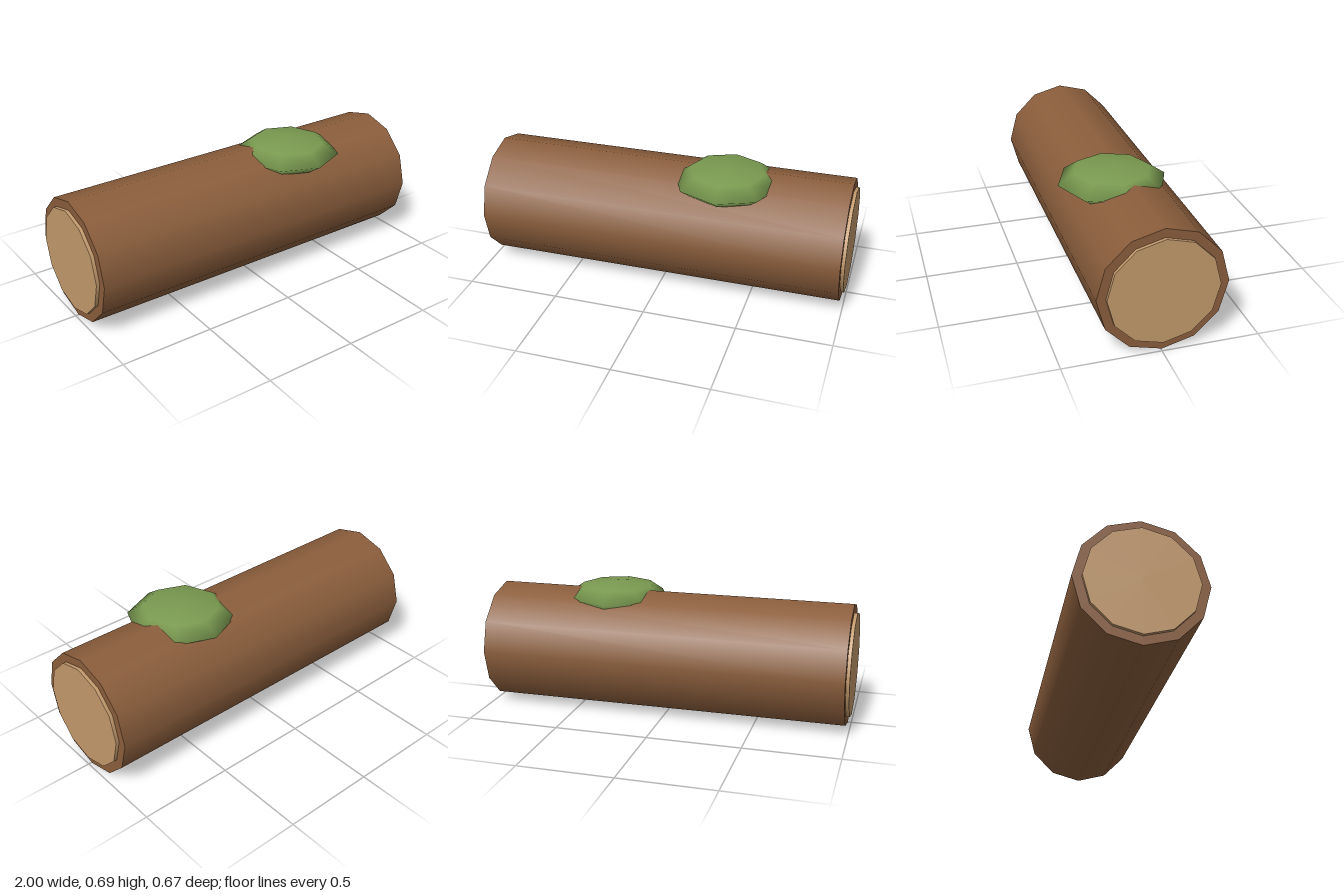
import * as THREE from 'three';

const SIDES = 12;
const RADIUS = 0.328;
const AXIS_Z = -0.005;

export function createModel() {
  const bark = new THREE.MeshStandardMaterial({ color: 0x8b5e3c });
  bark.name = 'bark brown';
  const wood = new THREE.MeshStandardMaterial({ color: 0xc49a6c });
  wood.name = 'cut wood tan';
  const moss = new THREE.MeshStandardMaterial({ color: 0x7a9a50 });
  moss.name = 'moss green';

  const model = new THREE.Group();
  model.name = 'mossyLog';

  // A cylinder lying along x on the log's axis
  const addCylinder = (name, radius, length, x, material) => {
    const geometry = new THREE.CylinderGeometry(radius, radius, length, SIDES);
    geometry.rotateZ(Math.PI / 2);
    const mesh = new THREE.Mesh(geometry, material);
    mesh.name = name;
    mesh.position.set(x, RADIUS, AXIS_Z);
    model.add(mesh);
  };

  // Trunk
  addCylinder('trunk', RADIUS, 1.964, 0, bark);

  // Cut faces standing slightly proud of both ends
  for (const [name, side] of [['leftCutFace', 1], ['rightCutFace', -1]]) {
    addCylinder(name, 0.281, 0.036, side * 0.982, wood);
  }

  // Flattened moss clump sunk into the top
  const mossGeometry = new THREE.SphereGeometry(0.284, 8, 4);
  mossGeometry.scale(1, 0.29, 1);
  const mossPatch = new THREE.Mesh(mossGeometry, moss);
  mossPatch.name = 'mossPatch';
  mossPatch.position.set(0.327, 0.609, 0.049);
  model.add(mossPatch);

  return model;
}
